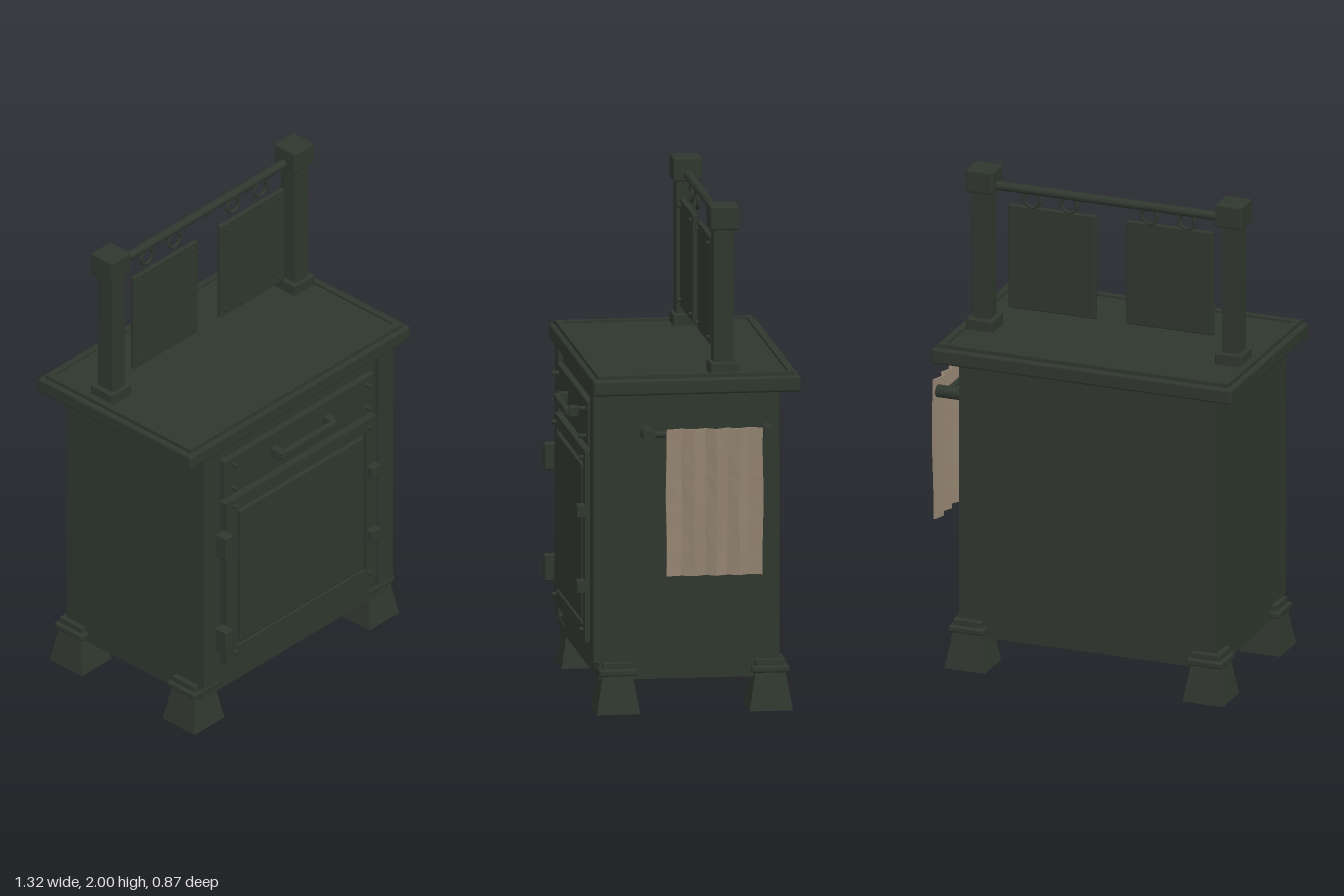
import * as THREE from 'three';
import { RoundedBoxGeometry } from 'three/addons/geometries/RoundedBoxGeometry.js';

export function createModel() {
  const model = new THREE.Group();
  model.name = 'kitchenCabinet';
  const paint = new THREE.MeshStandardMaterial({ name: 'darkGreenPaint', color: 0x2f372e });
  const linen = new THREE.MeshStandardMaterial({ name: 'taupeLinen', color: 0x928370, flatShading: true, side: THREE.DoubleSide });
  const flatPaint = paint.clone();
  flatPaint.flatShading = true;

  const add = (name, geometry, x = 0, y = 0, z = 0, material = paint) => {
    const mesh = new THREE.Mesh(geometry, material);
    mesh.name = name;
    mesh.position.set(x, y, z);
    model.add(mesh);
    return mesh;
  };
  // Box from its limits, with rounded edges when r > 0
  const box = (name, [x0, x1], [y0, y1], [z0, z1], r = 0) => {
    const size = [x1 - x0, y1 - y0, z1 - z0];
    const geometry = r ? new RoundedBoxGeometry(...size, 2, r) : new THREE.BoxGeometry(...size);
    return add(name, geometry, (x0 + x1) / 2, (y0 + y1) / 2, (z0 + z1) / 2);
  };
  const around = (c, w) => [c - w / 2, c + w / 2];
  // Cylinder lying along x or z
  const rod = (name, axis, r, length, x, y, z, sides = 16) => {
    const geometry = new THREE.CylinderGeometry(r, r, length, sides);
    if (axis === 'x') geometry.rotateZ(Math.PI / 2);
    else geometry.rotateX(Math.PI / 2);
    return add(name, geometry, x, y, z);
  };
  // Rectangular frame with an opening, facing +z from z = 0
  const frame = ([x0, x1, y0, y1], [a0, a1, b0, b1], depth) => {
    const rect = (T, l, r, b, t) => new T([[l, b], [r, b], [r, t], [l, t]].map(p => new THREE.Vector2(...p)));
    const shape = rect(THREE.Shape, x0, x1, y0, y1);
    shape.holes.push(rect(THREE.Path, a0, a1, b0, b1));
    return new THREE.ExtrudeGeometry(shape, { depth, bevelEnabled: false });
  };

  // Carcass
  box('carcass', [-0.57, 0.51], [0.19, 1.275], [-0.363, 0.35]);
  box('base', [-0.565, 0.505], [0.13, 0.195], [-0.358, 0.345]);
  box('leftStile', [0.425, 0.51], [0.195, 1.27], [0.34, 0.37], 0.005);
  box('rightStile', [-0.57, -0.48], [0.195, 1.27], [0.34, 0.37], 0.005);

  // Feet with stepped collars
  for (const x of [-0.53, 0.467]) for (const z of [0.275, -0.325]) {
    const foot = new THREE.CylinderGeometry(0.118 / Math.SQRT2, 0.17 / Math.SQRT2, 0.15, 4);
    foot.rotateY(Math.PI / 4);
    add('foot', foot, x, 0.075, z, flatPaint);
    box('footCollar', around(x, 0.148), [0.148, 0.175], around(z, 0.148), 0.008);
    box('footCollarStep', around(x, 0.118), [0.17, 0.2], around(z, 0.118), 0.004);
  }

  // Worktop with raised rim
  box('worktop', [-0.66, 0.597], [1.268, 1.33], [-0.436, 0.38], 0.01);
  const rim = frame([-0.638, 0.576, -0.36, 0.414], [-0.61, 0.548, -0.332, 0.39], 0.02);
  rim.rotateX(-Math.PI / 2);
  add('worktopRim', rim, 0, 1.325, 0);
  box('worktopSurface', [-0.611, 0.549], [1.32, 1.336], [-0.391, 0.333]);

  // Drawer
  box('drawerFront', [-0.46, 0.395], [1.035, 1.21], [0.34, 0.375], 0.005);
  box('drawerHandle', [-0.19, 0.13], [1.108, 1.142], [0.405, 0.43], 0.008);
  for (const x of [-0.18, 0.12]) box('handleBracket', around(x, 0.036), [1.103, 1.147], [0.37, 0.412], 0.006);

  // Door: frame with a raised panel
  add('doorFrame', frame([-0.46, 0.395, 0.26, 1.015], [-0.4, 0.335, 0.32, 0.965], 0.04), 0, 0, 0.345);
  box('doorRecess', [-0.41, 0.345], [0.31, 0.975], [0.345, 0.374]);
  box('doorPanel', [-0.386, 0.322], [0.336, 0.95], [0.355, 0.39], 0.006);
  for (const y of [0.838, 0.398]) box('hinge', [-0.505, -0.46], around(y, 0.105), [0.365, 0.425], 0.006);
  for (const y of [0.776, 0.478]) box('latch', [0.34, 0.389], around(y, 0.054), [0.38, 0.416], 0.006);

  // Rivets on drawer and door corners
  for (const x of [-0.413, 0.348]) {
    for (const y of [1.178, 1.07]) rod('drawerRivet', 'z', 0.009, 0.03, x, y, 0.388, 10);
    for (const y of [0.985, 0.303]) rod('doorRivet', 'z', 0.009, 0.02, x, y, 0.392, 10);
  }

  // Posts carrying the hanging rail
  for (const x of [-0.553, 0.491]) {
    box('postFoot', around(x, 0.113), [1.33, 1.382], around(-0.143, 0.113), 0.006);
    box('post', around(x, 0.072), [1.37, 1.92], around(-0.14, 0.08), 0.004);
    box('postCap', around(x, 0.113), [1.905, 2], around(-0.143, 0.113), 0.008);
  }
  rod('hangingRail', 'x', 0.018, 1.03, -0.031, 1.931, -0.146);

  // Hanging boards with rings and corner rivets
  for (const x of [-0.277, 0.215]) {
    box('hangingBoard', around(x, 0.366), [1.422, 1.85], [-0.126, -0.106], 0.006);
    for (const dx of [-0.078, 0.078])
      add('hangingRing', new THREE.TorusGeometry(0.033, 0.007, 8, 24), x + dx, 1.889, -0.137);
    for (const dx of [-0.152, 0.152]) for (const y of [1.452, 1.825])
      rod('boardRivet', 'z', 0.008, 0.016, x + dx, y, -0.102, 10);
  }

  // Towel holder on the model's left side
  for (const z of [0.163, -0.312]) rod('towelPeg', 'x', 0.025, 0.12, 0.56, 1.11, z);
  rod('towelRod', 'z', 0.013, 0.475, 0.58, 1.11, -0.075);

  // Pleated towel: zigzag section drawn down its height
  const folds = [[0.65, -0.277], [0.633, -0.225], [0.652, -0.187], [0.63, -0.14], [0.655, -0.095],
    [0.632, -0.055], [0.652, -0.01], [0.629, 0.04], [0.645, 0.1]];
  const t = 0.004;
  const outline = [
    ...folds.map(([x, z]) => new THREE.Vector2(x - t, -z)),
    ...folds.slice().reverse().map(([x, z]) => new THREE.Vector2(x + t, -z)),
  ];
  const towel = new THREE.ExtrudeGeometry(new THREE.Shape(outline), { depth: 0.58, steps: 6, bevelEnabled: false });
  towel.rotateX(-Math.PI / 2);
  const p = towel.attributes.position;
  for (let i = 0; i < p.count; i++) {
    const y = p.getY(i), z = p.getZ(i);
    p.setX(i, p.getX(i) + 0.003 * Math.sin(y * 9 + z * 30));
    p.setZ(i, z + 0.003 * Math.sin(y * 11 + z * 40) * Math.sin(y * Math.PI / 0.58));
  }
  towel.computeVertexNormals();
  add('towel', towel, 0, 0.56, 0, linen);

  return model;
}
